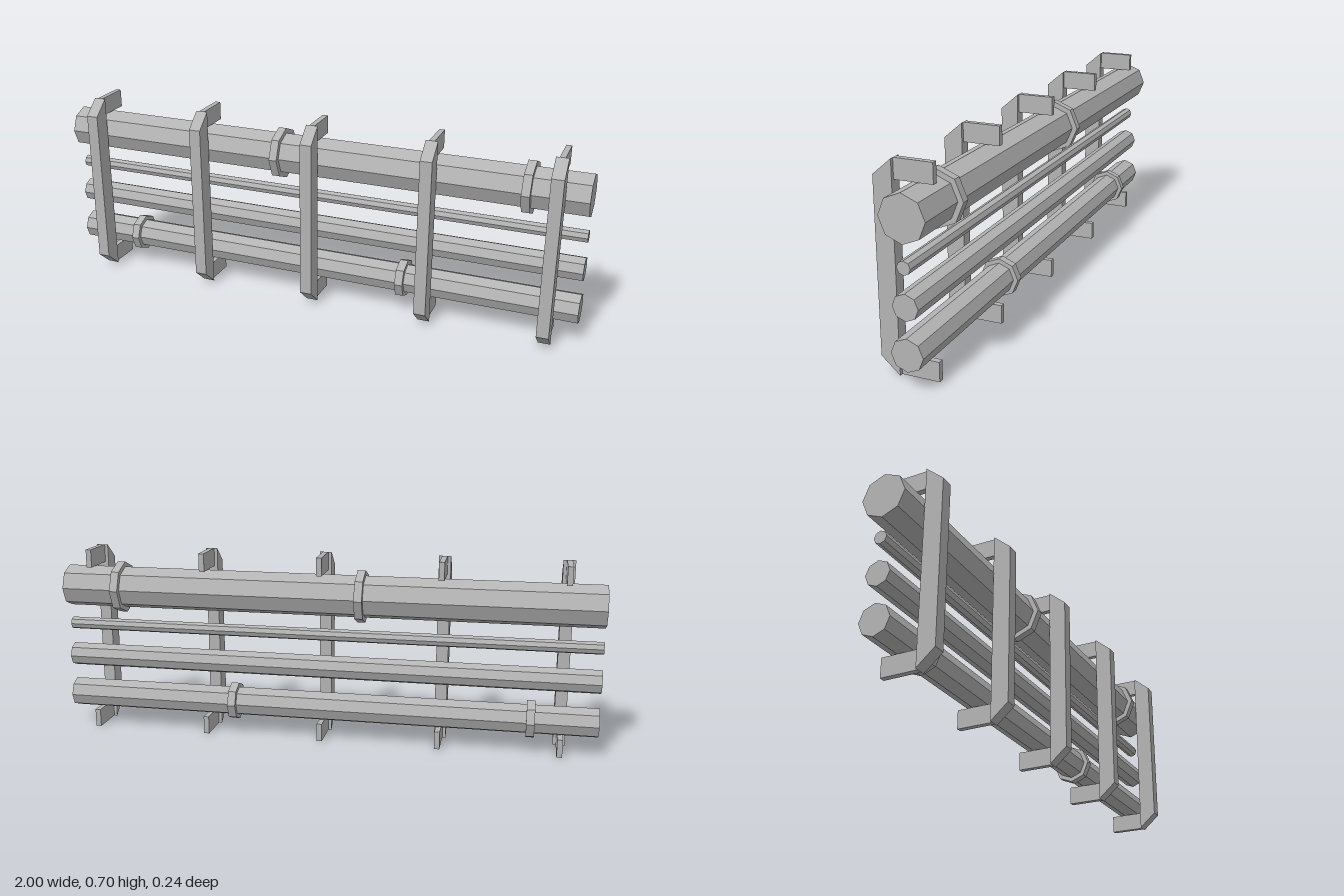
import * as THREE from 'three';

const PIPE_Z = -0.021;

export function createModel() {
  const model = new THREE.Group();
  model.name = 'pipeRack';
  const grey = new THREE.MeshStandardMaterial({ color: 0xb4b4b4 });
  grey.name = 'grey metal';
  grey.flatShading = true;

  const add = (parent, name, geometry, x, y, z) => {
    const mesh = new THREE.Mesh(geometry, grey);
    mesh.name = name;
    mesh.position.set(x, y, z);
    parent.add(mesh);
  };
  // Octagonal bar lying along x, corners on the axes
  const bar = (radius, length) =>
    new THREE.CylinderGeometry(radius, radius, length, 8).rotateZ(Math.PI / 2);

  // Four pipes, the thicker ones with joint collars
  const pipes = [
    { name: 'topPipe', y: 0.55, r: 0.078, collarR: 0.097, collars: [-0.133, 0.79] },
    { name: 'thinPipe', y: 0.4, r: 0.023, collars: [] },
    { name: 'middlePipe', y: 0.276, r: 0.044, collars: [] },
    { name: 'bottomPipe', y: 0.122, r: 0.055, collarR: 0.071, collars: [-0.759, 0.352] },
  ];
  for (const p of pipes) {
    add(model, p.name, bar(p.r, 2), 0, p.y, PIPE_Z);
    for (const x of p.collars) add(model, p.name + 'Collar', bar(p.collarR, 0.03), x, p.y, PIPE_Z);
  }

  // Bracket post: side profile in (z, y) with chamfered front corners
  const profile = new THREE.Shape([
    [0.055, 0], [0.119, 0.056], [0.119, 0.642], [0.055, 0.697],
  ].map(([z, y]) => new THREE.Vector2(z, y)));
  const postGeometry = new THREE.ExtrudeGeometry(profile, { depth: 0.044, bevelEnabled: false })
    .translate(0, 0, -0.022)
    .rotateY(-Math.PI / 2);
  // Thin arm reaching back over or under the pipes
  const armGeometry = new THREE.BoxGeometry(0.02, 0.067, 0.131);

  for (let i = -2; i <= 2; i++) {
    const bracket = new THREE.Group();
    bracket.name = 'bracket';
    bracket.position.x = 0.015 + i * 0.441;
    add(bracket, 'bracketPost', postGeometry, 0, 0, 0);
    add(bracket, 'bracketTopArm', armGeometry, 0, 0.6635, -0.0105);
    add(bracket, 'bracketBottomArm', armGeometry, 0, 0.0335, -0.0105);
    model.add(bracket);
  }
  return model;
}
